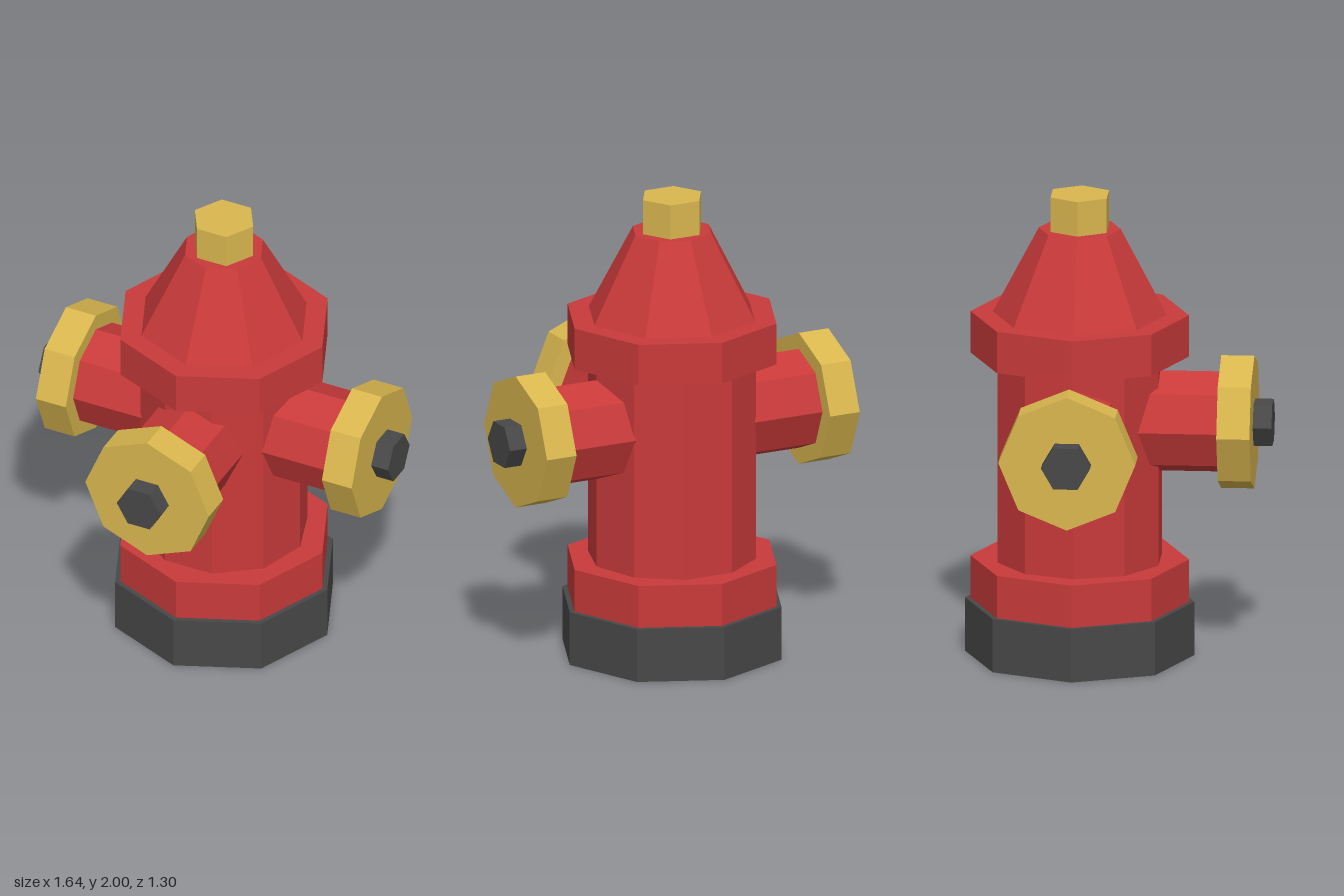
import * as THREE from 'three';

export function createModel() {
  const mat = (name, color) => {
    const m = new THREE.MeshStandardMaterial({ color, flatShading: true });
    m.name = name;
    return m;
  };
  const red = mat('red paint', 0xc93a3a);
  const gold = mat('gold', 0xd9b64e);
  const dark = mat('dark iron', 0x484848);

  // Faceted drum along y from y0 to y1; turn sets where the first corner lies
  const drum = (parent, name, material, sides, y0, y1, rBottom, rTop = rBottom, turn = 0) => {
    const geo = new THREE.CylinderGeometry(rTop, rBottom, y1 - y0, sides, 1, false, turn);
    geo.translate(0, (y0 + y1) / 2, 0);
    const mesh = new THREE.Mesh(geo, material);
    mesh.name = name;
    parent.add(mesh);
  };

  const model = new THREE.Group();
  model.name = 'fireHydrant';
  const hydrant = new THREE.Group();
  hydrant.name = 'hydrant';
  hydrant.position.z = -0.166;
  model.add(hydrant);

  // Upright barrel, from the ground up
  const quarter = Math.PI / 2;
  drum(hydrant, 'base', dark, 8, 0, 0.232, 0.484);
  drum(hydrant, 'lowerFlange', red, 8, 0.232, 0.416, 0.461);
  drum(hydrant, 'barrel', red, 10, 0.416, 1.3, 0.357, 0.357, quarter);
  drum(hydrant, 'upperFlange', red, 8, 1.3, 1.48, 0.461);
  drum(hydrant, 'bonnet', red, 8, 1.48, 1.85, 0.367, 0.173);
  drum(hydrant, 'topNut', gold, 6, 1.85, 2, 0.137, 0.137, quarter);

  // Three outlets: right, front and left
  [['rightOutlet', -1], ['frontOutlet', 0], ['leftOutlet', 1]].forEach(([name, side]) => {
    const outlet = new THREE.Group();
    outlet.name = name;
    const s = side === 0 ? 0 : 0.003; // side outlets reach slightly further
    drum(outlet, 'pipe', red, 8, 0.1, 0.597 + s, 0.218);
    drum(outlet, 'cap', gold, 8, 0.597 + s, 0.737 + s, 0.289);
    drum(outlet, 'capNut', dark, 6, 0.737 + s, 0.816 + s, 0.103, 0.103, quarter);
    outlet.rotation.set(quarter, side * quarter, 0, 'YXZ');
    outlet.position.y = 1.02;
    hydrant.add(outlet);
  });

  return model;
}
